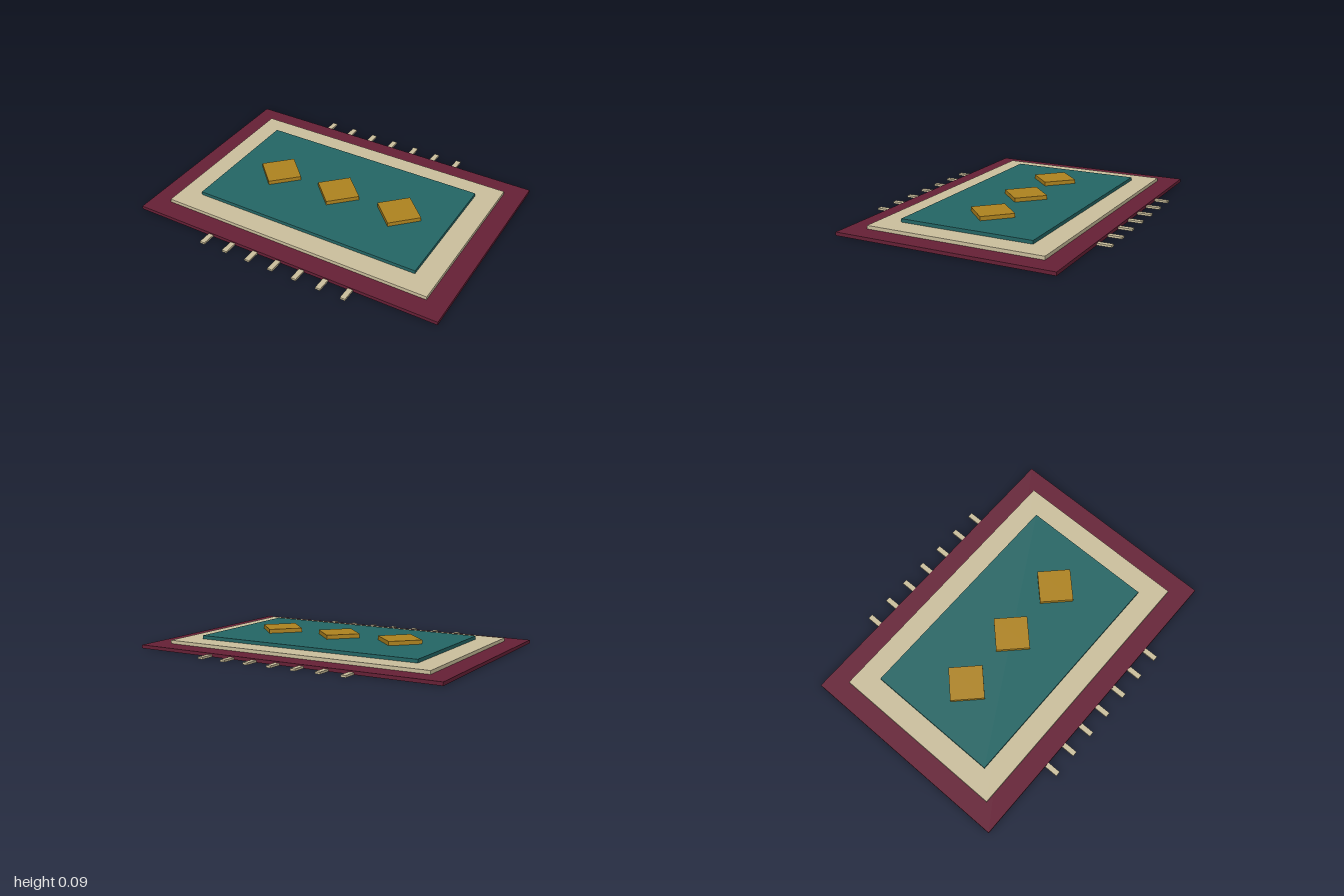
import * as THREE from 'three';

const paint = (name, color) => {
  const m = new THREE.MeshStandardMaterial({ color });
  m.name = name;
  return m;
};

export function createModel() {
  const rug = new THREE.Group();
  rug.name = 'rug';
  const maroon = paint('maroon', 0x672036);
  const cream = paint('cream', 0xcdc19e);
  const teal = paint('teal', 0x246766);
  const gold = paint('gold', 0xb0841f);

  // Box resting on height y
  const slab = (name, material, w, h, d, x, y, z) => {
    const mesh = new THREE.Mesh(new THREE.BoxGeometry(w, h, d), material);
    mesh.name = name;
    mesh.position.set(x, y + h / 2, z);
    rug.add(mesh);
    return mesh;
  };

  // Stacked woven layers
  slab('base', maroon, 2, 0.021, 1.364, 0, 0, 0);
  slab('border', cream, 1.75, 0.021, 1.116, 0, 0.021, 0);
  slab('field', teal, 1.474, 0.021, 0.842, 0, 0.042, 0);

  // Row of diamond medallions
  for (const x of [-0.421, 0, 0.421]) {
    slab('diamond', gold, 0.208, 0.025, 0.208, x, 0.063, 0).rotation.y = Math.PI / 4;
  }

  // Fringe tassels along both long edges
  for (const side of [-1, 1]) {
    for (let i = -3; i <= 3; i++) {
      slab('tassel', cream, 0.032, 0.0125, 0.086, i * 0.158, 0.0005, side * 0.725);
    }
  }
  return rug;
}
